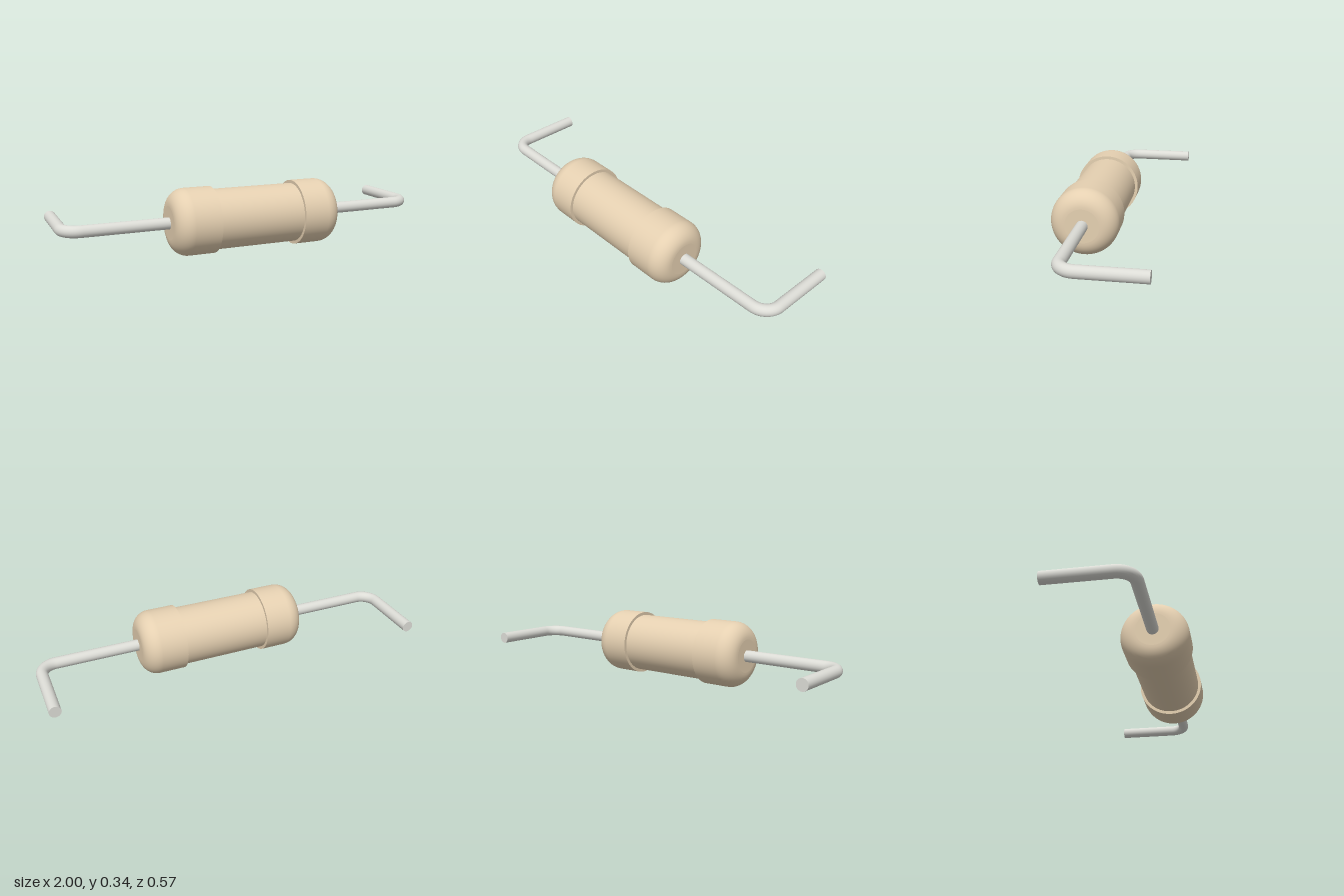
import * as THREE from 'three';

const AXIS_Y = 0.1715, AXIS_Z = 0.116; // centre line of the body
const CAP_R = 0.171, BODY_R = 0.155, FILLET = 0.085, CAP_IN = 0.23, CAP_OUT = 0.452;
const WIRE_R = 0.03, WIRE_X = 0.97, WIRE_END = -0.286, BEND = 0.085;

const v2 = (x, y) => new THREE.Vector2(x, y);

// Lathe whose axis lies along x; side -1 turns it to point the other way
function latheX(points, material, side = 1) {
  const mesh = new THREE.Mesh(new THREE.LatheGeometry(points, 64), material);
  mesh.rotation.z = -side * Math.PI / 2;
  return mesh;
}

// Cap profile: inner step, straight wall, rounded shoulder, flat end (doubled points keep edges sharp)
function capProfile() {
  const pts = [v2(BODY_R - 0.01, CAP_IN), v2(CAP_R, CAP_IN), v2(CAP_R, CAP_IN)];
  for (let i = 0; i <= 12; i++) {
    const a = (i / 12) * Math.PI / 2;
    pts.push(v2(CAP_R - FILLET + FILLET * Math.cos(a), CAP_OUT - FILLET + FILLET * Math.sin(a)));
  }
  const rim = pts[pts.length - 1];
  pts.push(rim.clone(), v2(0, CAP_OUT));
  return pts;
}

// Lead: straight out of the cap, round bend, then back along -z
function leadPath(side) {
  const p = (x, z) => new THREE.Vector3(side * x, 0, z);
  const k = BEND * (1 - 0.5523);
  const path = new THREE.CurvePath();
  path.add(new THREE.LineCurve3(p(0.4, 0), p(WIRE_X - BEND, 0)));
  path.add(new THREE.CubicBezierCurve3(
    p(WIRE_X - BEND, 0), p(WIRE_X - k, 0), p(WIRE_X, -k), p(WIRE_X, -BEND)));
  path.add(new THREE.LineCurve3(p(WIRE_X, -BEND), p(WIRE_X, WIRE_END - AXIS_Z)));
  return path;
}

export function createModel() {
  const tan = new THREE.MeshStandardMaterial({ color: 0xe5d0b1 });
  const metal = new THREE.MeshStandardMaterial({ color: 0xdcdcd6 });
  const model = new THREE.Group();
  model.name = 'resistor';
  model.position.set(0, 0, 0);

  const assembly = new THREE.Group();
  assembly.name = 'assembly';
  assembly.position.set(0, AXIS_Y, AXIS_Z);
  model.add(assembly);

  // Central barrel, running just inside both caps
  const barrel = latheX([v2(BODY_R, -CAP_IN - 0.01), v2(BODY_R, CAP_IN + 0.01)], tan);
  barrel.name = 'barrel';
  assembly.add(barrel);

  for (const side of [1, -1]) {
    const label = side > 0 ? 'left' : 'right';

    const cap = latheX(capProfile(), tan, side);
    cap.name = label + 'EndCap';

    const lead = new THREE.Group();
    lead.name = label + 'Lead';
    const wire = new THREE.Mesh(new THREE.TubeGeometry(leadPath(side), 90, WIRE_R, 24), metal);
    wire.name = label + 'Wire';
    // Flat cut face at the wire's end
    const cut = new THREE.Mesh(new THREE.CircleGeometry(WIRE_R, 24), metal);
    cut.name = label + 'WireTip';
    cut.rotation.y = Math.PI;
    cut.position.set(side * WIRE_X, 0, WIRE_END - AXIS_Z);
    lead.add(wire, cut);

    assembly.add(cap, lead);
  }
  return model;
}
